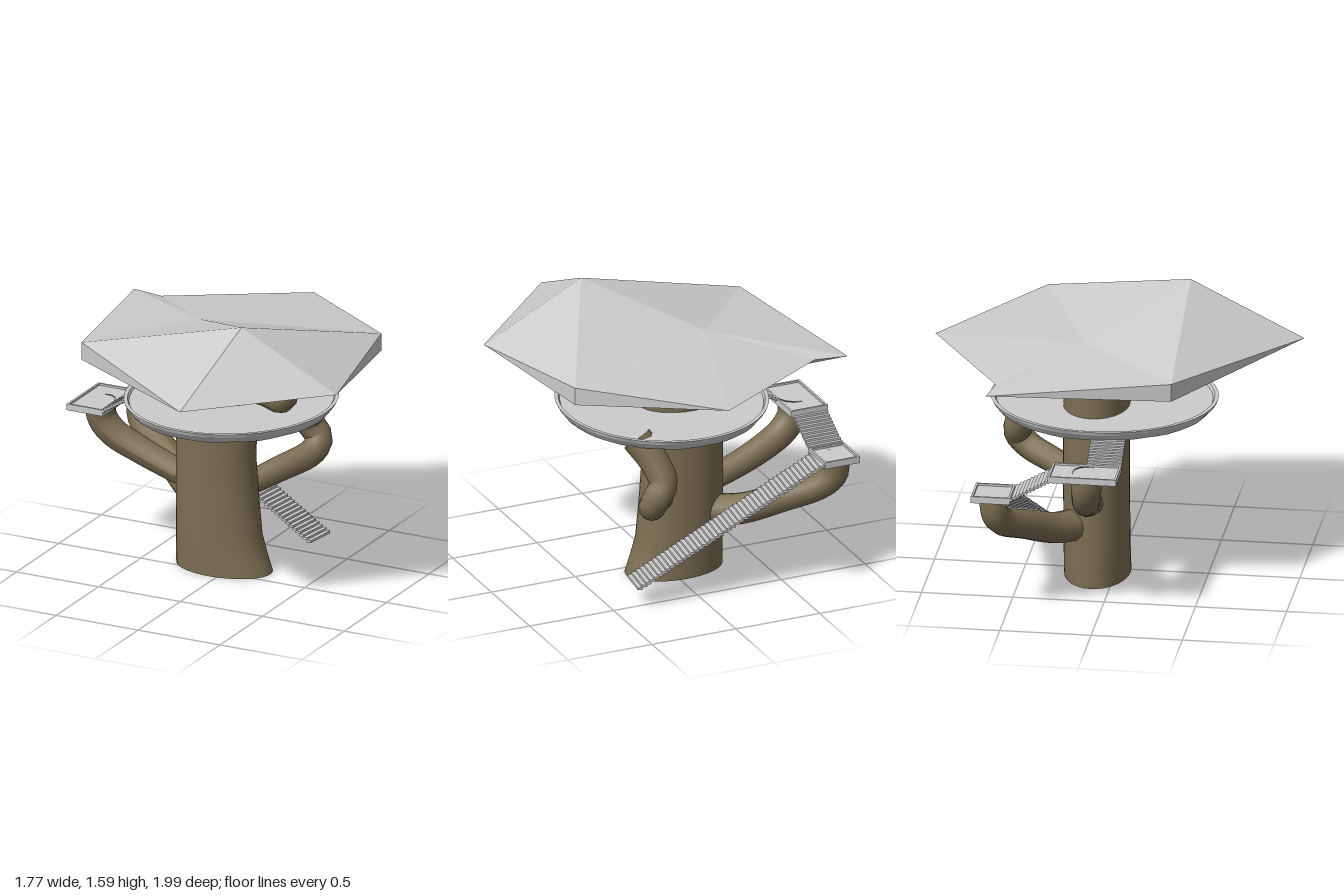
import * as THREE from 'three';

const grey = new THREE.MeshStandardMaterial({ color: 0xcccccc, flatShading: true, side: THREE.DoubleSide });
const bark = new THREE.MeshStandardMaterial({ color: 0x7c6e53, side: THREE.DoubleSide });
const V = (p) => new THREE.Vector3(...p);

function mesh(name, geometry, material) {
  const m = new THREE.Mesh(geometry, material);
  m.name = name;
  return m;
}

function box(name, size, pos) {
  const m = mesh(name, new THREE.BoxGeometry(...size), grey);
  m.position.set(...pos);
  return m;
}

// Indexed surface through equal-length rings of points, closed around each ring
function loft(rings) {
  const n = rings[0].length, index = [];
  for (let i = 0; i < rings.length - 1; i++) {
    for (let j = 0; j < n; j++) {
      const a = i * n + j, b = i * n + (j + 1) % n;
      index.push(a, a + n, b, b, a + n, b + n);
    }
  }
  const g = new THREE.BufferGeometry();
  g.setAttribute('position', new THREE.Float32BufferAttribute(rings.flat(2), 3));
  g.setIndex(index);
  g.computeVertexNormals();
  return g;
}

// Oval trunk, flaring to one side at the foot: each level is [height, +x extent]
function trunk() {
  const levels = [[0, 0.24], [0.1, 0.205], [0.2, 0.175], [0.4, 0.155], [0.65, 0.135], [0.85, 0.145], [1.05, 0.17], [1.25, 0.2]];
  const ring = (y, right, s = 1) => Array.from({ length: 36 }, (_, j) => {
    const a = -j / 36 * Math.PI * 2, cx = (right - 0.32) / 2, rx = (right + 0.32) / 2;
    return [cx + rx * s * Math.cos(a), y, -0.1 + 0.18 * s * Math.sin(a)];
  });
  const group = new THREE.Group();
  group.name = 'trunk';
  group.add(mesh('trunkBark', loft(levels.map(([y, r]) => ring(y, r))), bark));
  group.add(mesh('trunkBase', loft([ring(0, 0.24, 0.001), ring(0, 0.24)]), bark));
  return group;
}

// Branch: a tube whose radius runs from r0 to r1
function branch(name, points, r0, r1) {
  const path = new THREE.CatmullRomCurve3(points.map(V)), n = 28, sides = 12;
  const g = new THREE.TubeGeometry(path, n, 1, sides);
  const pos = g.attributes.position, v = new THREE.Vector3();
  for (let i = 0; i < pos.count; i++) {
    const t = Math.floor(i / (sides + 1)) / n, c = path.getPointAt(t);
    v.fromBufferAttribute(pos, i).sub(c).multiplyScalar(r0 + (r1 - r0) * t).add(c);
    pos.setXYZ(i, v.x, v.y, v.z);
  }
  g.computeVertexNormals();
  return mesh(name, g, bark);
}

// Round deck with a raised lip and a scalloped underside
function deck() {
  const n = 48;
  const ring = (s, y, wave = 0) => Array.from({ length: n }, (_, j) => {
    const a = -j / n * Math.PI * 2, w = wave * Math.cos(a * 12), k = s + w;
    return [0.017 + 0.575 * k * Math.cos(a), y + w * 0.4, -0.07 + 0.62 * k * Math.sin(a)];
  });
  return mesh('deck', loft([
    ring(0.001, 0.94), ring(0.86, 0.94), ring(0.93, 0.945, 0.015), ring(0.985, 0.985, 0.005),
    ring(1, 1.005), ring(0.965, 1.005), ring(0.95, 0.99), ring(0.001, 0.99),
  ]), grey);
}

// Irregular faceted roof with sharp tips and two blunt corners
function roof() {
  const p = {
    P: [0.3, 1.59, 0.36], V: [-0.21, 1.386, -0.14],
    N: [0.04, 1.3, -1], A: [0.72, 1.35, -0.48], E: [0.88, 1.3, 0.36], S: [0.25, 1.3, 0.99],
    W: [-0.66, 1.35, 0.39], T: [-0.85, 1.3, -0.6], U: [-0.67, 1.3, -0.57],
    a: [0.72, 1.25, -0.48], w: [-0.66, 1.25, 0.39],
    p: [0.28, 1.225, 0.36], v: [-0.25, 1.222, -0.45],
  };
  const top = ['VPA', 'VAN', 'VNU', 'VUT', 'VTW', 'VWP', 'PWS', 'PSE', 'PEA'];
  const edge = ['NAa', 'AEa', 'SWw', 'WTw'];
  const under = ['pva', 'vNa', 'vUN', 'vTU', 'vwT', 'vpw', 'pSw', 'pES', 'paE'];
  const g = new THREE.BufferGeometry();
  const tris = [...top, ...edge, ...under].flatMap((f) => [...f].flatMap((k) => p[k]));
  g.setAttribute('position', new THREE.Float32BufferAttribute(tris, 3));
  g.computeVertexNormals();
  return mesh('roof', g, grey);
}

// Straight flight of thin overlapping treads from a to b
function flight(name, a, b, count, width) {
  const group = new THREE.Group(), from = V(a), to = V(b), d = to.clone().sub(from);
  group.name = name;
  const run = Math.hypot(d.x, d.z), yaw = -Math.atan2(d.z, d.x);
  for (let i = 0; i < count; i++) {
    const at = from.clone().lerp(to, (i + 0.5) / count);
    const step = box('step', [run / count * 1.3, Math.abs(d.y) / count * 1.05, width], at.toArray());
    step.rotation.y = yaw;
    group.add(step);
  }
  return group;
}

// Landing tray with a low rim; spans x0..x1 and z0..z1
function landing(name, x0, x1, z0, z1, y0, y1) {
  const group = new THREE.Group(), w = x1 - x0, d = z1 - z0, h = y1 - y0, t = 0.012;
  const cx = (x0 + x1) / 2, cz = (z0 + z1) / 2, cy = (y0 + y1) / 2;
  group.name = name;
  group.add(box('landingFloor', [w - 2 * t, h * 0.7, d - 2 * t], [cx, y0 + h * 0.35, cz]));
  for (const s of [-1, 1]) {
    group.add(box('landingRim', [t, h, d], [cx + s * (w - t) / 2, cy, cz]));
    group.add(box('landingRim', [w - 2 * t, h, t], [cx, cy, cz + s * (d - t) / 2]));
  }
  return group;
}

export function createModel() {
  const model = new THREE.Group();
  model.name = 'treeHouse';
  model.add(trunk(), deck(), roof());

  // Branches carrying the landings, the deck and the roof
  model.add(
    branch('upperLandingBranch', [[-0.2, 0.46, -0.1], [-0.35, 0.51, -0.1], [-0.55, 0.59, -0.09], [-0.7, 0.67, -0.07], [-0.765, 0.75, -0.06], [-0.775, 0.85, -0.05]], 0.065, 0.085),
    branch('lowerLandingBranch', [[-0.2, 0.34, -0.16], [-0.35, 0.36, -0.28], [-0.55, 0.45, -0.42], [-0.74, 0.54, -0.53], [-0.79, 0.61, -0.56], [-0.79, 0.71, -0.57]], 0.09, 0.075),
    branch('deckBranch', [[0.03, 0.45, -0.14], [0.17, 0.52, -0.33], [0.28, 0.58, -0.52], [0.29, 0.64, -0.58], [0.235, 0.73, -0.57], [0.26, 0.84, -0.51], [0.33, 0.96, -0.43]], 0.065, 0.085),
    branch('roofBranch', [[0.08, 1.07, -0.05], [0.26, 1.085, 0], [0.4, 1.1, 0.07], [0.41, 1.15, 0.06], [0.365, 1.2, 0], [0.36, 1.26, -0.03]], 0.065, 0.085),
  );

  // Stairs from the ground side up to the deck
  model.add(
    flight('lowerStairs', [0.36, 0.115, -0.45], [-0.69, 0.71, -0.575], 46, 0.19),
    landing('lowerLanding', -0.89, -0.68, -0.675, -0.46, 0.69, 0.728),
    flight('middleStairs', [-0.785, 0.71, -0.47], [-0.785, 0.835, -0.25], 11, 0.2),
    landing('upperLanding', -0.89, -0.67, -0.255, 0.12, 0.83, 0.866),
    flight('upperStairs', [-0.68, 0.855, 0.025], [-0.52, 0.955, 0.025], 9, 0.19),
  );
  return model;
}
